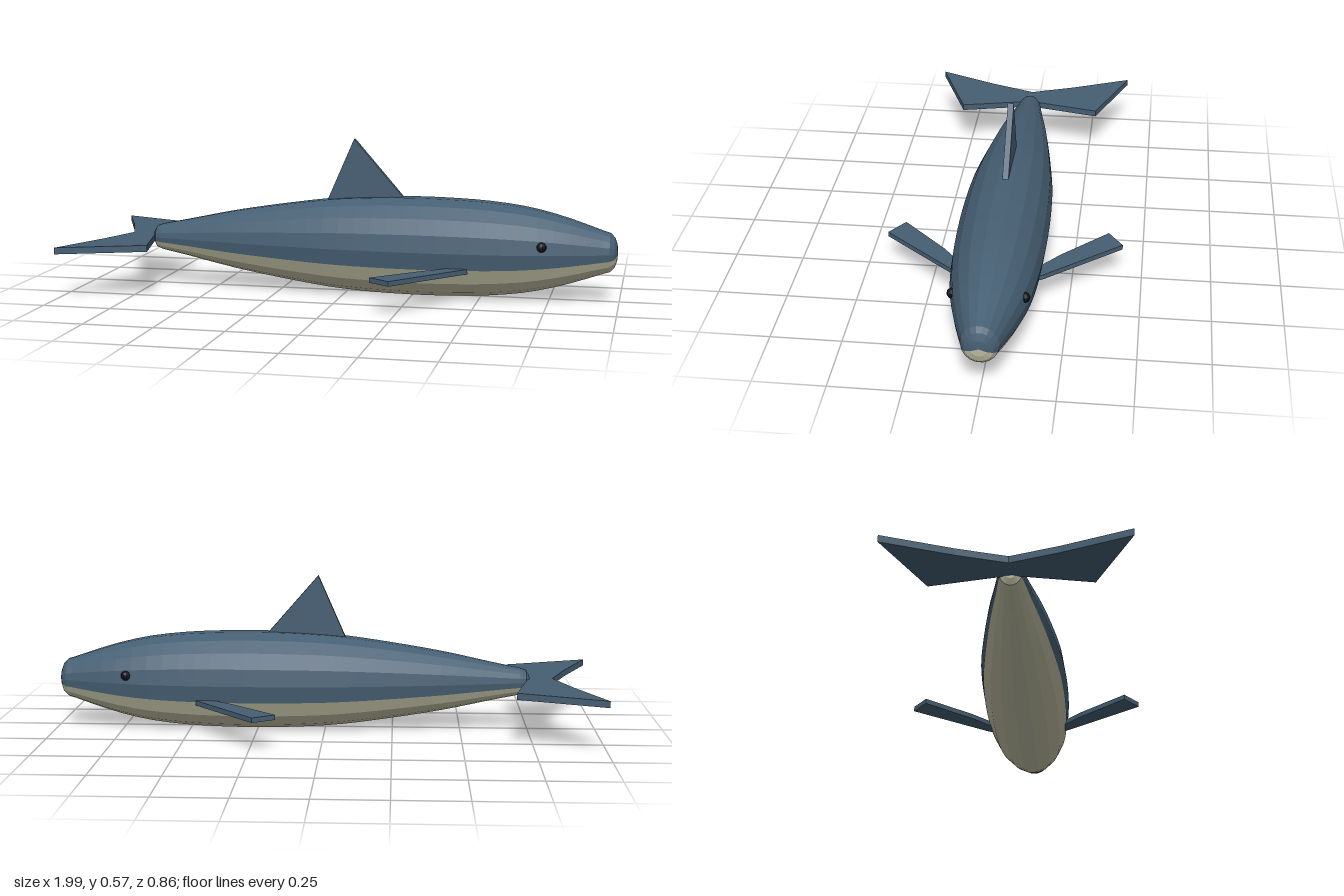
import * as THREE from 'three';

const SIDES = 18, MID_Y = 0.183;
const mat = (color) => new THREE.MeshStandardMaterial({ color, flatShading: true });

// Body half-height along x, closed by a rounded cap at each end
function bodyRings() {
  const flank = new THREE.SplineCurve([
    [-0.72, 0.05], [-0.62, 0.07], [-0.4, 0.116], [-0.1, 0.162], [0.08, 0.177], [0.25, 0.182], [0.4, 0.18],
    [0.53, 0.173], [0.65, 0.159], [0.75, 0.138], [0.84, 0.112], [0.94, 0.078],
  ].map(([x, r]) => new THREE.Vector2(x, r)));
  const rings = flank.getSpacedPoints(28).map((p) => [p.x, p.y]);
  const tail = [[-0.757, 0], [-0.754, 0.022], [-0.742, 0.042]];
  const nose = [[0.964, 0.071], [0.98, 0.055], [0.989, 0.03], [0.992, 0]];
  return [...tail, ...rings, ...nose];
}

// Strip of the body between two side numbers, counted from the left flank upwards
function bodyStrip(rings, from, to) {
  const pos = [];
  const at = (i, j) => {
    const a = (j / SIDES) * Math.PI * 2, [x, r] = rings[i];
    return [x, MID_Y + r * Math.sin(a), r * 0.89 * Math.cos(a)];
  };
  for (let i = 0; i < rings.length - 1; i++) {
    for (let j = from; j < to; j++) {
      const a = at(i, j), b = at(i + 1, j), c = at(i + 1, j + 1), d = at(i, j + 1);
      if (rings[i + 1][1] > 0) pos.push(...a, ...b, ...c);
      if (rings[i][1] > 0) pos.push(...a, ...c, ...d);
    }
  }
  const g = new THREE.BufferGeometry();
  g.setAttribute('position', new THREE.Float32BufferAttribute(pos, 3));
  g.computeVertexNormals();
  return g;
}

// Flat plate from an outline, centred on its thickness
function plate(points, depth) {
  const shape = new THREE.Shape(points.map(([x, y]) => new THREE.Vector2(x, y)));
  return new THREE.ExtrudeGeometry(shape, { depth, bevelEnabled: false }).translate(0, 0, -depth / 2);
}

export function createModel() {
  const model = new THREE.Group();
  const backMat = mat(0x465f73), bellyMat = mat(0xbfbea4), eyeMat = mat(0x111418);
  const add = (name, geometry, material) => {
    const mesh = new THREE.Mesh(geometry, material);
    mesh.name = name;
    model.add(mesh);
    return mesh;
  };

  // Body: dark back and pale belly share the same rings
  const rings = bodyRings();
  add('back', bodyStrip(rings, -1, 10), backMat);
  add('belly', bodyStrip(rings, 10, 17), bellyMat);

  // Dorsal fin
  add('dorsalFin', plate([[-0.085, 0.32], [0.245, 0.32], [0.21, 0.362], [0.026, 0.573]], 0.022), backMat);

  // Tail flukes: one plate, outline mirrored across the midline
  const half = [[-0.9, 0.165], [-1, 0.396], [-0.69, 0.275], [-0.745, 0.03]];
  const mirrored = half.map(([x, z]) => [x, -z]).reverse();
  const flukes = plate([[-0.84, 0], ...half, [-0.735, 0], ...mirrored], 0.024).rotateX(Math.PI / 2);
  add('tailFlukes', flukes, backMat).position.y = 0.182;

  // Pectoral fins and eyes on both sides
  const fin = [[0.235, 0.428], [0.158, 0.374], [0.323, 0.209], [0.42, 0.13], [0.475, 0.13], [0.462, 0.157]];
  for (const s of [1, -1]) {
    const side = s > 0 ? 'front' : 'rear';
    const geo = plate(fin.map(([x, z]) => [x, z * s]), 0.018).rotateX(Math.PI / 2);
    add(`${side}PectoralFin`, geo, backMat).position.y = 0.12;
    add(`${side}Eye`, new THREE.SphereGeometry(0.018, 10, 8), eyeMat).position.set(0.728, 0.213, 0.122 * s);
  }
  return model;
}
